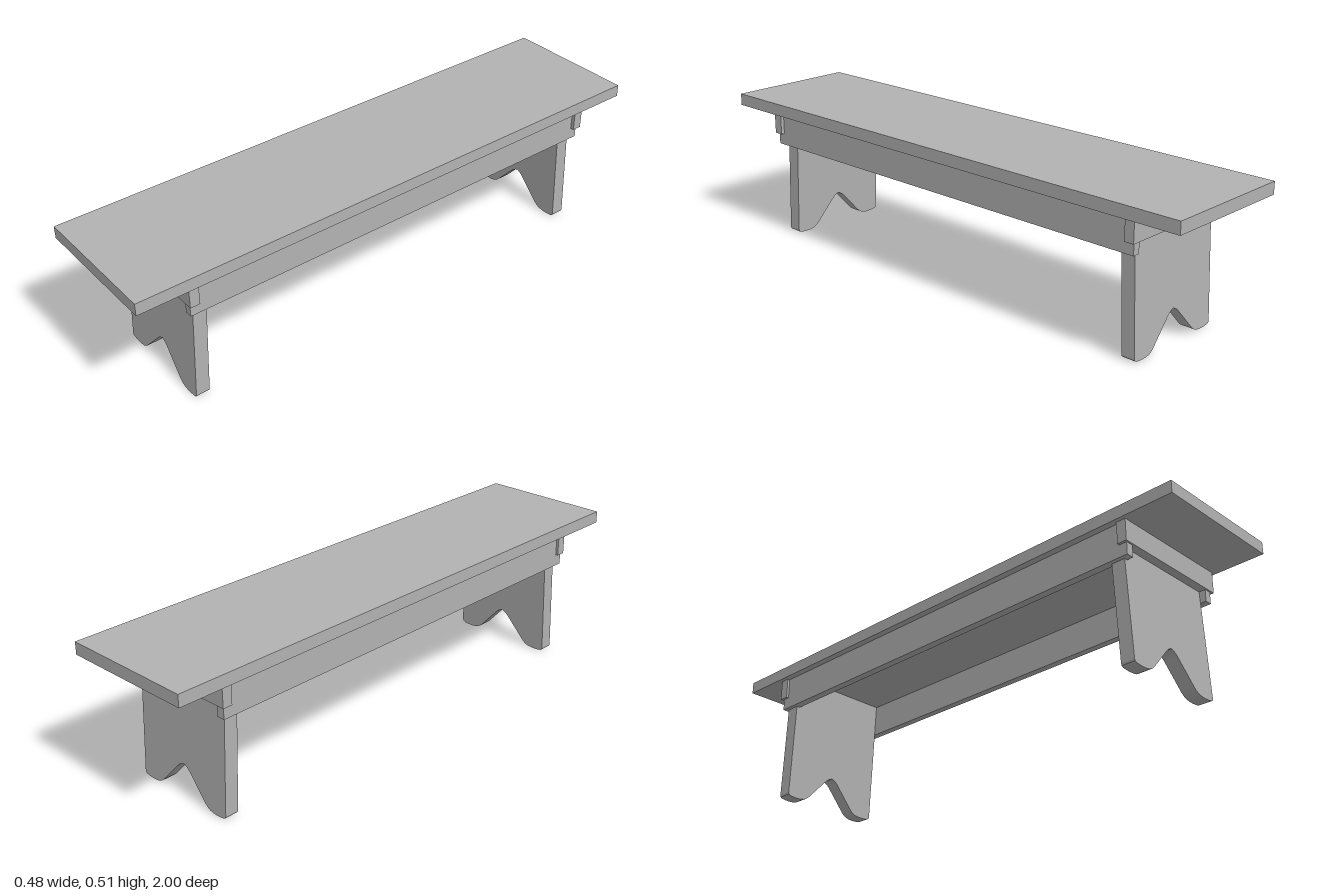
import * as THREE from 'three';

export function createModel() {
  const bench = new THREE.Group();
  bench.name = 'bench';
  const wood = new THREE.MeshStandardMaterial({ color: 0xb2b2b2 });
  wood.name = 'plain grey';

  // Board given by its minimum and maximum on each axis
  function board(name, [x0, x1], [y0, y1], [z0, z1]) {
    const mesh = new THREE.Mesh(new THREE.BoxGeometry(x1 - x0, y1 - y0, z1 - z0), wood);
    mesh.position.set((x0 + x1) / 2, (y0 + y1) / 2, (z0 + z1) / 2);
    mesh.name = name;
    bench.add(mesh);
  }

  const seatBottom = 0.467;
  board('seat', [-0.24, 0.24], [seatBottom, 0.51], [-1, 1]);

  // Long side rails under the seat
  board('leftRail', [0.186, 0.212], [0.35, seatBottom], [-0.825, 0.811]);
  board('rightRail', [-0.216, -0.188], [0.35, seatBottom], [-0.825, 0.811]);

  // Cross cleats on the outside of each leg
  board('frontCleat', [-0.225, 0.225], [0.392, seatBottom], [0.783, 0.817]);
  board('backCleat', [-0.225, 0.225], [0.392, seatBottom], [-0.833, -0.799]);

  // Half outline of a leg board, from the top edge round the foot to the notch peak
  const half = [
    [-0.194, seatBottom], [-0.194, 0.013], [-0.192, 0.007], [-0.186, 0.003],
    [-0.171, 0.001], [-0.155, 0], [-0.138, 0.001], [-0.122, 0.004], [-0.109, 0.011],
    [-0.099, 0.02], [-0.025, 0.101], [-0.018, 0.107], [-0.006, 0.114], [0, 0.116],
  ];
  const outline = [...half, ...half.slice(0, -1).reverse().map(([x, y]) => [-x, y])];
  const shape = new THREE.Shape(outline.map(([x, y]) => new THREE.Vector2(x, y)));

  // Leg boards lean outward towards the floor
  function leg(name, zFoot, lean) {
    const geometry = new THREE.ExtrudeGeometry(shape, { depth: 0.049, bevelEnabled: false });
    const p = geometry.attributes.position;
    for (let i = 0; i < p.count; i++) p.setZ(i, p.getZ(i) - 0.0245 + lean * p.getY(i));
    geometry.computeVertexNormals();
    const mesh = new THREE.Mesh(geometry, wood);
    mesh.position.set(-0.007, 0, zFoot);
    mesh.name = name;
    bench.add(mesh);
  }
  leg('frontLeg', 0.781, -0.046);
  leg('backLeg', -0.803, 0.046);

  return bench;
}
